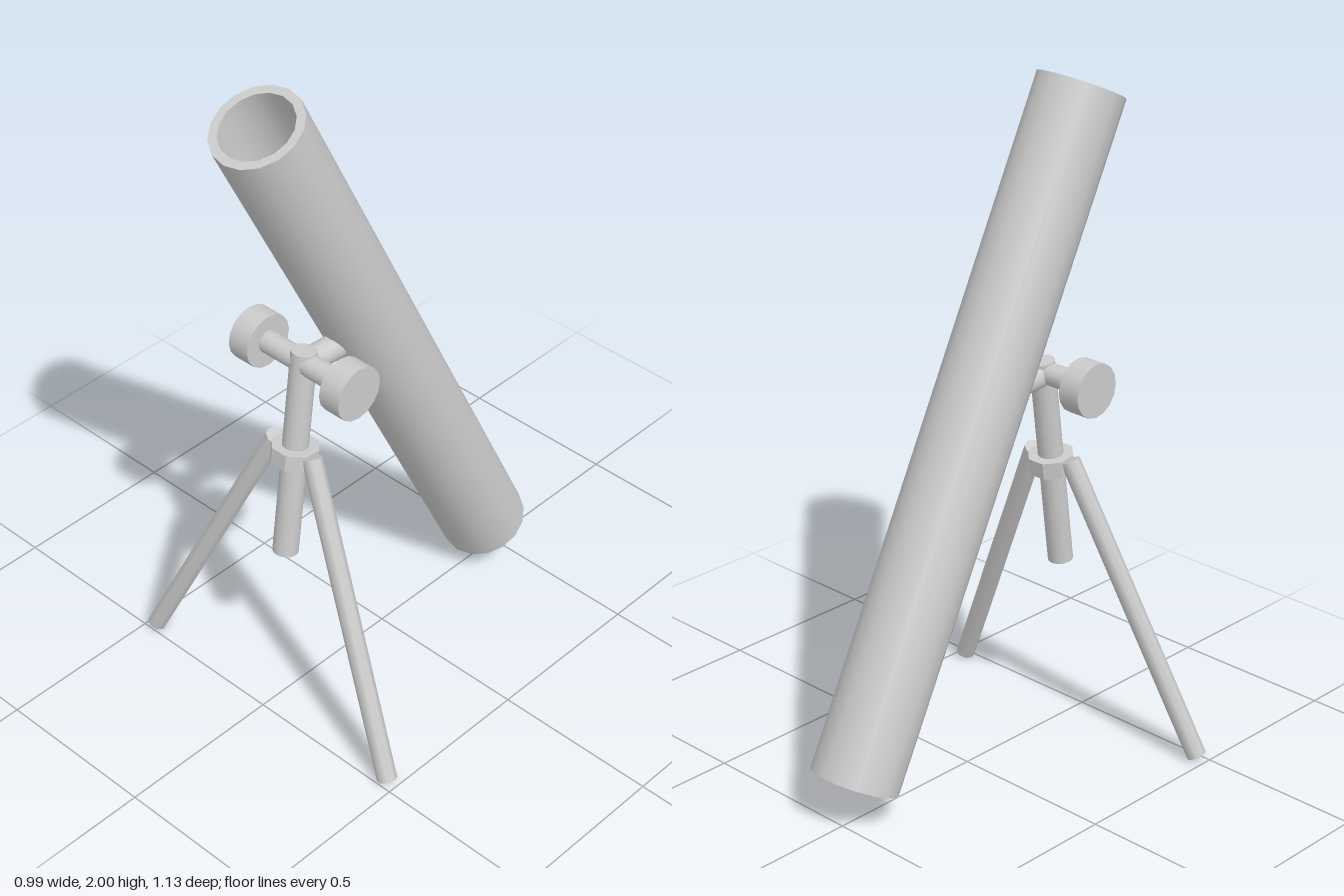
import * as THREE from 'three';
import { toCreasedNormals } from 'three/addons/utils/BufferGeometryUtils.js';

const material = new THREE.MeshStandardMaterial({ color: 0xcccccc });
const UP = new THREE.Vector3(0, 1, 0);

// Places a y-aligned geometry at the middle of two points, pointing from a to b.
function between(name, geometry, a, b) {
  const mesh = new THREE.Mesh(geometry, material);
  mesh.name = name;
  mesh.position.lerpVectors(a, b, 0.5);
  mesh.quaternion.setFromUnitVectors(UP, b.clone().sub(a).normalize());
  return mesh;
}

function rod(name, radius, a, b, sides = 16, turn = 0) {
  const geometry = new THREE.CylinderGeometry(radius, radius, a.distanceTo(b), sides);
  geometry.rotateY(turn);
  return between(name, geometry, a, b);
}

const v = (x, y, z) => new THREE.Vector3(x, y, z);

// Point on the leaning centre line of the stand at height y
const stand = (y) => v(0, y, 0.307 + 0.14 * (1.135 - y));

export function createModel() {
  const model = new THREE.Group();

  // Hollow barrel, closed at the bottom
  const low = v(0, 0.122, -0.45);
  const high = v(0, 1.942, 0.45);
  const half = low.distanceTo(high) / 2;
  const profile = [
    [0, -half], [0.13, -half], [0.13, half],
    [0.105, half], [0.105, -half + 0.03], [0, -half + 0.03],
  ].map(([r, y]) => new THREE.Vector2(r, y));
  const barrel = toCreasedNormals(new THREE.LatheGeometry(profile, 16), Math.PI / 5);
  model.add(between('barrel', barrel, low, high));

  // Stand column and its eight-sided collar
  model.add(rod('column', 0.037, stand(0.525), stand(1.172)));
  const collar = rod('collar', 0.069, stand(0.825), stand(0.875), 8, Math.PI / 8);
  collar.geometry = toCreasedNormals(collar.geometry, 0.5);
  model.add(collar);

  // Crossbar and the short arm joining it to the barrel
  model.add(rod('crossbar', 0.033, v(-0.14, 1.137, 0.307), v(0.14, 1.137, 0.307)));
  model.add(rod('barrelArm', 0.037, v(0, 1.13, 0.307), v(0, 1.122, 0.17)));

  // Adjusting knobs and legs, one of each per side
  for (const [side, s] of [['left', 1], ['right', -1]]) {
    model.add(rod(side + 'Knob', 0.08, v(s * 0.135, 1.135, 0.305), v(s * 0.205, 1.135, 0.305)));
    model.add(rod(side + 'Leg', 0.029, v(s * 0.47, 0.013, 0.477), v(s * 0.07, 0.87, 0.35), 8));
  }

  return model;
}
